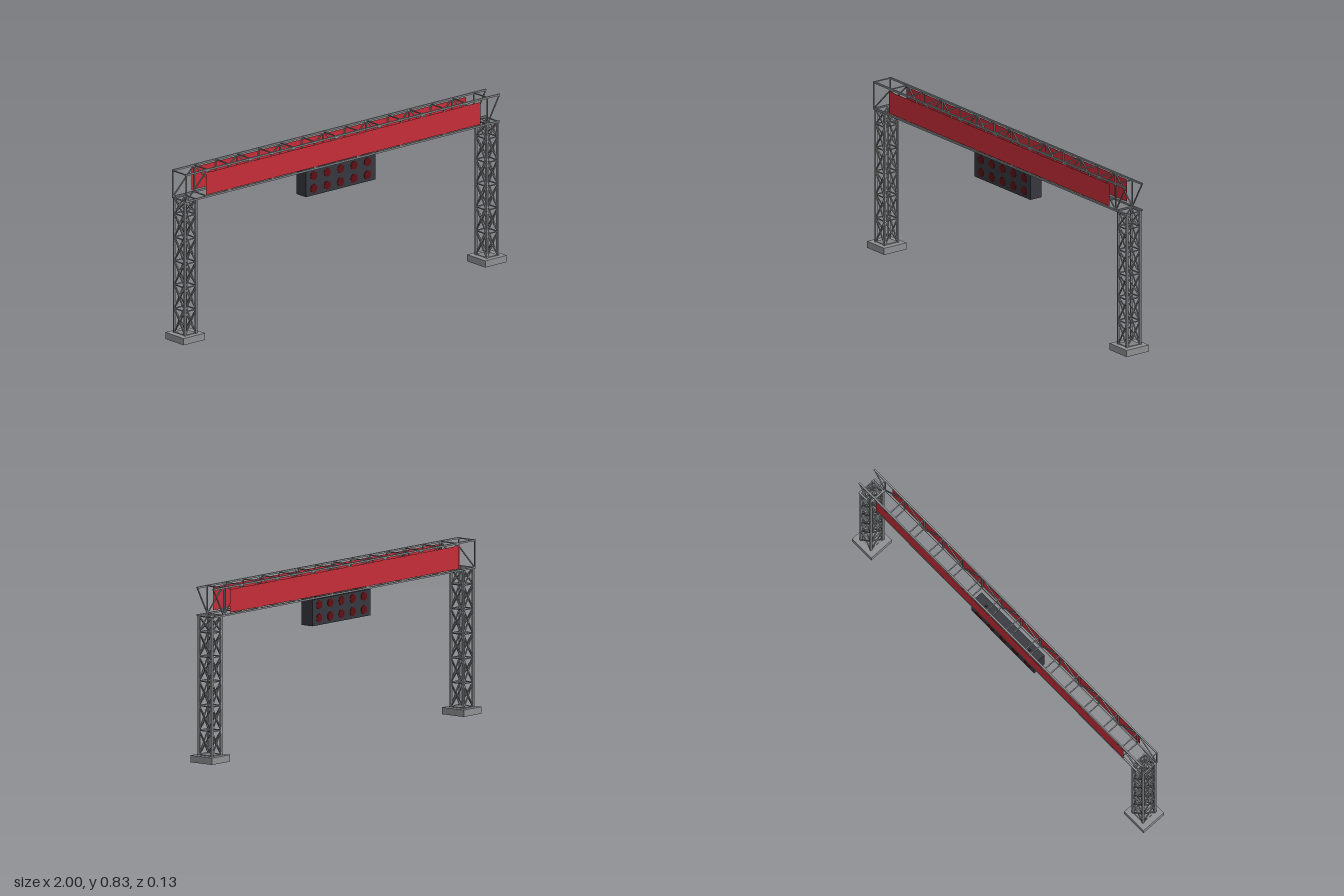
import * as THREE from 'three';
import { mergeGeometries } from 'three/addons/utils/BufferGeometryUtils.js';

const mat = (name, color, side = THREE.FrontSide) => {
  const m = new THREE.MeshStandardMaterial({ color, side });
  m.name = name;
  return m;
};

// Square bar between two points
function bar(a, b, w) {
  const p = new THREE.Vector3(...a), q = new THREE.Vector3(...b);
  const o = new THREE.Object3D();
  o.position.copy(p).lerp(q, 0.5);
  if (Math.abs(q.y - p.y) > 1e-4 && Math.hypot(q.x - p.x, q.z - p.z) < 1e-4) o.rotation.x = Math.PI / 2;
  else o.lookAt(q);
  o.updateMatrix();
  return new THREE.BoxGeometry(w, w, p.distanceTo(q)).applyMatrix4(o.matrix);
}

export function createModel() {
  const model = new THREE.Group();
  model.name = 'startGantry';
  const steel = mat('steel', 0x8e9092);
  const footGrey = mat('footGrey', 0x8e9092, THREE.DoubleSide);
  const plateGrey = mat('plateGrey', 0x808284);
  const red = mat('bannerRed', 0xc62d37, THREE.DoubleSide);
  const dark = mat('housingDark', 0x36363e);
  const lampRed = mat('lampRed', 0x5e0e12);

  const add = (parent, name, geo, material, x = 0, y = 0, z = 0) => {
    const m = new THREE.Mesh(geo, material);
    m.name = name;
    m.position.set(x, y, z);
    parent.add(m);
    return m;
  };

  // Lattice legs on hollow feet
  const levels = [0.034, 0.151, 0.268, 0.385, 0.502, 0.618, 0.693];
  const hx = 0.034, hz = 0.0385;
  const corners = [[-hx, -hz], [hx, -hz], [hx, hz], [-hx, hz]];
  for (const side of [-1, 1]) {
    const leg = new THREE.Group();
    leg.name = side > 0 ? 'leftLeg' : 'rightLeg';
    leg.position.x = side * 0.934;
    model.add(leg);

    const posts = corners.map(([x, z]) => bar([x, 0.03, z], [x, 0.695, z], 0.01));
    add(leg, 'posts', mergeGeometries(posts), steel);

    const braces = [];
    corners.forEach(([x0, z0], i) => {
      const [x1, z1] = corners[(i + 1) % 4];
      for (let k = 0; k < levels.length - 1; k++) {
        const lo = levels[k], hi = levels[k + 1];
        braces.push(bar([x0, lo, z0], [x1, hi, z1], 0.005));
        braces.push(bar([x1, lo, z1], [x0, hi, z0], 0.005));
        braces.push(bar([x0, hi, z0], [x1, hi, z1], 0.005));
      }
    });
    add(leg, 'braces', mergeGeometries(braces), steel);

    // Foot is open underneath: drop the downward face
    const foot = new THREE.BoxGeometry(0.132, 0.033, 0.132);
    const idx = Array.from(foot.index.array);
    idx.splice(18, 6);
    foot.setIndex(idx);
    foot.clearGroups();
    add(leg, 'foot', foot, footGrey, 0, 0.0165, 0);
    add(leg, 'footPlate', new THREE.BoxGeometry(0.07, 0.003, 0.078), plateGrey, 0, 0.0345, 0);
  }

  // Overhead truss
  const yLo = 0.696, yHi = 0.827, zT = 0.049, end = 0.97, bay = 0.1332, bays = 15;
  const chords = [], web = [], ties = [];
  for (const z of [-zT, zT]) {
    for (const y of [yLo, yHi]) chords.push(bar([-end, y, z], [end, y, z], 0.008));
    for (let i = 0; i < bays; i++) {
      const x0 = -end + i * bay, x1 = Math.min(x0 + bay, end), up = i % 2 === 0;
      web.push(bar([x0, yLo, z], [x0, yHi, z], 0.005));
      web.push(bar([x0, up ? yLo : yHi, z], [x1, up ? yHi : yLo, z], 0.005));
    }
  }
  for (let i = 0; i < bays; i++) {
    const x = -end + i * bay;
    for (const y of [yLo, yHi]) ties.push(bar([x, y, -zT], [x, y, zT], 0.005));
  }
  const truss = new THREE.Group();
  truss.name = 'truss';
  model.add(truss);
  add(truss, 'chords', mergeGeometries(chords), steel);
  add(truss, 'web', mergeGeometries(web), steel);
  add(truss, 'crossTies', mergeGeometries(ties), steel);

  // Banners on both faces
  for (const s of [-1, 1]) {
    const banner = add(model, s > 0 ? 'frontBanner' : 'backBanner',
      new THREE.PlaneGeometry(1.7, 0.11), red, 0, 0.76, s * 0.0525);
    if (s < 0) banner.rotation.y = Math.PI;
  }

  // Hanging light box with two rows of lamps on each face
  const lights = new THREE.Group();
  lights.name = 'lightBox';
  model.add(lights);
  add(lights, 'housing', new THREE.BoxGeometry(0.43, 0.125, 0.066), dark, 0, 0.6225, 0);
  for (const x of [-0.15, 0.15])
    add(lights, 'hanger', new THREE.BoxGeometry(0.008, 0.014, 0.008), dark, x, 0.691, 0);
  const lamp = new THREE.CylinderGeometry(0.021, 0.021, 0.003, 16).rotateX(Math.PI / 2);
  for (const s of [-1, 1])
    for (const y of [0.593, 0.656])
      for (let i = -2; i <= 2; i++) add(lights, 'lamp', lamp, lampRed, i * 0.083, y, s * 0.0335);

  return model;
}
